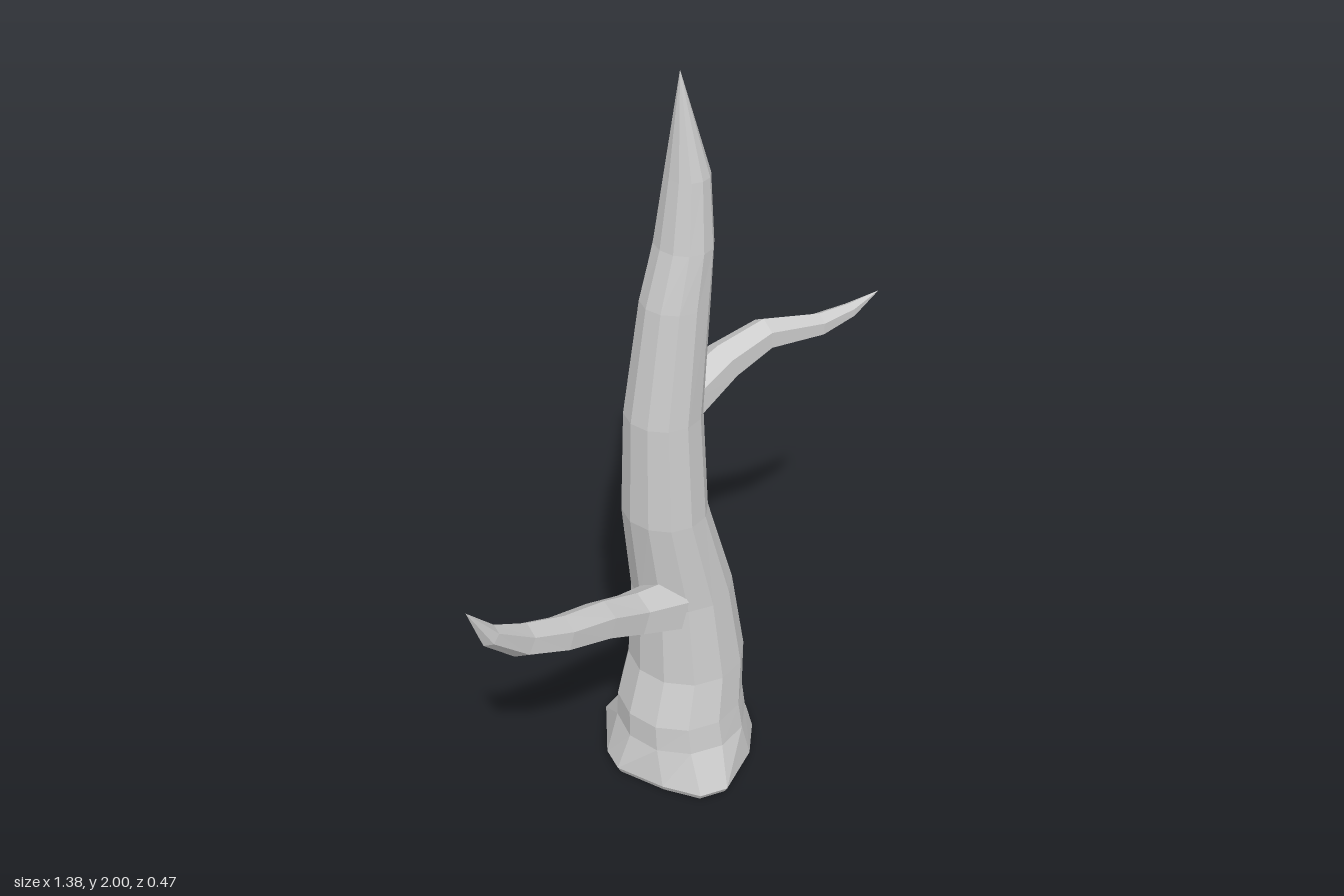
import * as THREE from 'three';

// Skin a list of equal-length rings (arrays of Vector3), closing both ends with fans.
function loft(rings, start, end) {
  const n = rings[0].length, pos = [], idx = [];
  rings.flat().concat(start, end).forEach(p => pos.push(p.x, p.y, p.z));
  const s = rings.length * n, e = s + 1, last = s - n;
  for (let i = 0; i < n; i++) {
    const j = (i + 1) % n;
    for (let r = 0; r < rings.length - 1; r++) {
      const a = r * n + i, b = r * n + j;
      idx.push(a, a + n, b, b, a + n, b + n);
    }
    idx.push(s, i, j, last + i, e, last + j);
  }
  const g = new THREE.BufferGeometry();
  g.setAttribute('position', new THREE.Float32BufferAttribute(pos, 3));
  g.setIndex(idx);
  g.computeVertexNormals();
  return g;
}

const V = (x, y, z) => new THREE.Vector3(x, y, z);
const material = new THREE.MeshStandardMaterial({ color: 0xcccccc, flatShading: true });

function part(name, geometry) {
  const mesh = new THREE.Mesh(geometry, material);
  mesh.name = name;
  return mesh;
}

// Trunk: irregular root flare, then elliptical rings up to a point.
function trunk() {
  const flare = [[0.31, 0], [0.275, 0.07], [0.2, 0.15], [0.065, 0.22], [-0.01, 0.2], [-0.07, 0.11],
    [-0.125, -0.02], [-0.11, -0.09], [-0.01, -0.235], [0.06, -0.2], [0.135, -0.235], [0.285, -0.09]];
  const rings = [
    flare.map(([x, z]) => V(0.09 + (x - 0.09) * 0.95, 0, z * 0.95)),
    flare.map(([x, z]) => V(x, 0.02, z)),
  ];
  // height, x from, x to, z from, z to
  const spans = [
    [0.13, -0.09, 0.26, -0.19, 0.17],
    [0.21, -0.09, 0.25, -0.18, 0.16],
    [0.34, -0.05, 0.26, -0.175, 0.14],
    [0.58, -0.045, 0.22, -0.15, 0.115],
    [0.85, -0.08, 0.135, -0.125, 0.1],
    [1.14, -0.075, 0.12, -0.11, 0.085],
    [1.44, -0.03, 0.14, -0.095, 0.072],
    [1.58, 0.01, 0.147, -0.088, 0.065],
    [1.75, 0.035, 0.14, -0.068, 0.045],
  ];
  for (const [y, x0, x1, z0, z1] of spans) {
    rings.push(flare.map((_, i) => {
      const a = i / flare.length * Math.PI * 2;
      return V((x0 + x1) / 2 + Math.cos(a) * (x1 - x0) / 2, y, (z0 + z1) / 2 + Math.sin(a) * (z1 - z0) / 2);
    }));
  }
  return part('trunk', loft(rings, V(0.09, 0, 0), V(0.065, 2, -0.012)));
}

// Branch: six-sided rings square to a bent path; nodes are x, y, z, radius.
function branch(name, nodes, tip) {
  const pts = nodes.map(([x, y, z]) => V(x, y, z)).concat(tip);
  const rings = nodes.map(([, , , r], k) => {
    const dir = pts[k + 1].clone().sub(pts[Math.max(k - 1, 0)]).normalize();
    const side = V(0, 1, 0).cross(dir).normalize();
    const up = dir.clone().cross(side);
    return Array.from({ length: 6 }, (_, i) => {
      const a = -i / 6 * Math.PI * 2 + Math.PI / 2;
      return pts[k].clone().addScaledVector(side, Math.cos(a) * r).addScaledVector(up, Math.sin(a) * r);
    });
  });
  return part(name, loft(rings, pts[0], tip));
}

export function createModel() {
  const tree = new THREE.Group();
  tree.name = 'deadTree';
  tree.add(trunk());
  tree.add(branch('lowerBranch', [
    [-0.01, 0.585, 0.045, 0.075],
    [-0.14, 0.635, 0.07, 0.06],
    [-0.265, 0.705, 0.108, 0.053],
    [-0.405, 0.765, 0.148, 0.047],
    [-0.525, 0.825, 0.17, 0.042],
    [-0.63, 0.92, 0.208, 0.026],
  ], V(-0.695, 1.03, 0.228)));
  tree.add(branch('upperBranch', [
    [0.08, 1.145, -0.015, 0.062],
    [0.21, 1.207, -0.018, 0.052],
    [0.33, 1.243, -0.01, 0.043],
    [0.49, 1.221, 0.01, 0.031],
    [0.595, 1.227, 0.012, 0.02],
  ], V(0.69, 1.25, 0.012)));
  return tree;
}
